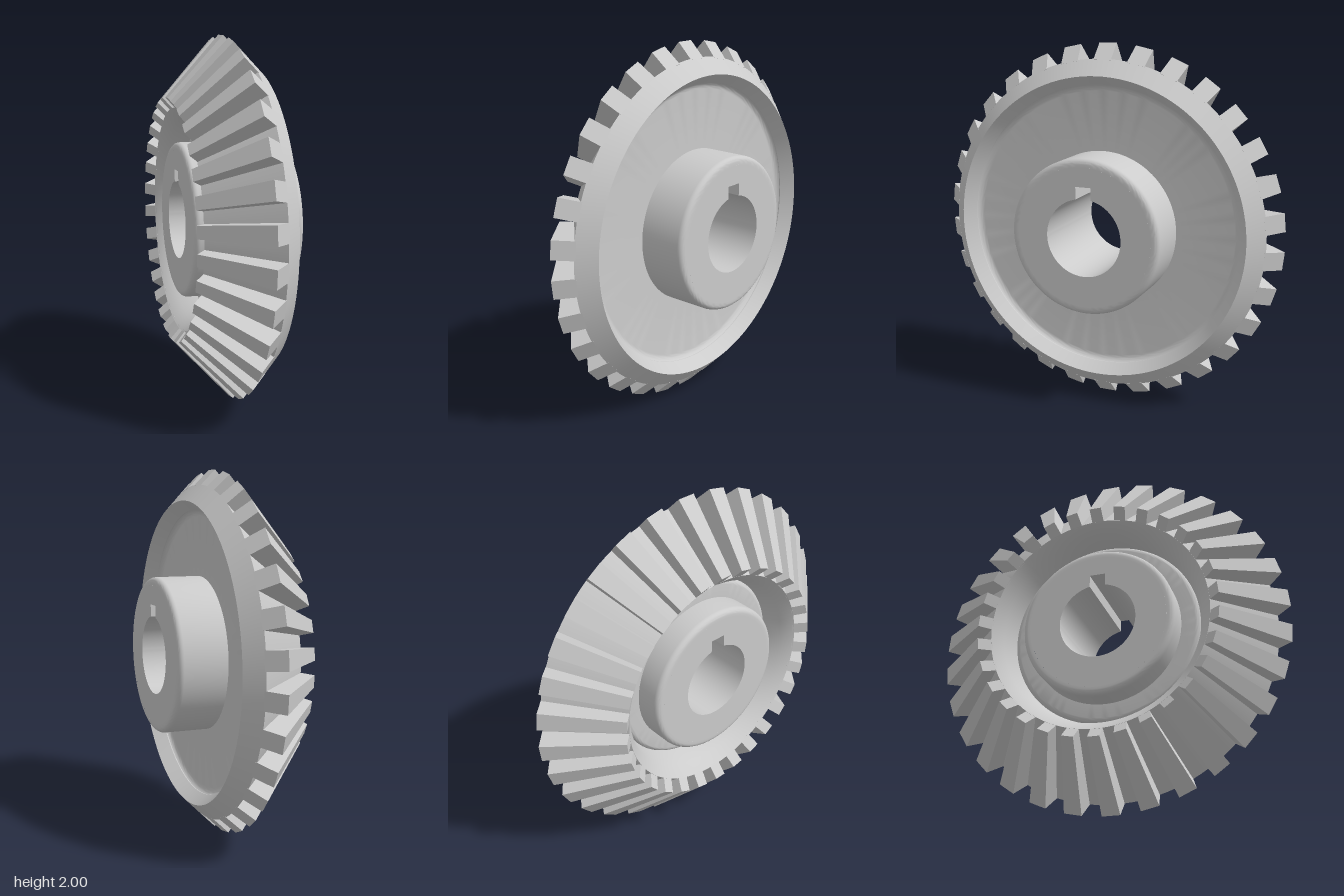
import * as THREE from 'three';
import { toCreasedNormals } from 'three/addons/utils/BufferGeometryUtils.js';

const TEETH = 30;

// Quarter-round profile points [radius, axial] about a centre, angles in degrees
function arc(r, a, radius, from, to, steps = 6) {
  return Array.from({ length: steps + 1 }, (_, i) => {
    const t = THREE.MathUtils.degToRad(from + (to - from) * i / steps);
    return [r + radius * Math.cos(t), a + radius * Math.sin(t)];
  });
}

// Turned body: front hub, front web, root cone, back cone, dished back web, back hub
function bodyGeometry() {
  const profile = [
    [0.38, -0.27],
    ...arc(0.395, -0.24, 0.03, -90, 0),
    [0.425, -0.12],
    ...arc(0.5, -0.09, 0.03, -90, -20),
    [0.56, -0.21], [0.613, -0.27],
    [0.92, 0.06], [0.835, 0.145],
    [0.785, 0.075],
    ...arc(0.75, 0.09, 0.04, -30, -90),
    [0.425, 0.05],
    ...arc(0.395, 0.29, 0.03, 0, 90),
    [0.38, 0.32],
  ].map(([r, a]) => new THREE.Vector2(r, a));
  const g = new THREE.LatheGeometry(profile, 120);
  g.rotateZ(-Math.PI / 2);
  return toCreasedNormals(g, 0.5);
}

// Hub core with a keyed bore
function coreGeometry() {
  const shape = new THREE.Shape().absarc(0, 0, 0.38, 0, Math.PI * 2);
  const bore = 0.212, half = 0.044;
  const a = Math.acos(half / bore);
  const hole = new THREE.Path();
  hole.moveTo(half, 0.275);
  hole.lineTo(half, bore * Math.sin(a));
  hole.absarc(0, 0, bore, a, Math.PI - a, true);
  hole.lineTo(-half, 0.275);
  hole.closePath();
  shape.holes.push(hole);
  const g = new THREE.ExtrudeGeometry(shape, { depth: 0.59, bevelEnabled: false, curveSegments: 48 });
  g.rotateY(Math.PI / 2);
  g.translate(-0.27, 0, 0);
  return toCreasedNormals(g, 0.5);
}

// One straight tooth at the top, tapering toward the small end
function toothGeometry() {
  const g = new THREE.BoxGeometry(1, 1, 1);
  const p = g.attributes.position;
  for (let i = 0; i < p.count; i++) {
    const big = p.getX(i) > 0, tip = p.getY(i) > 0;
    const [x, r] = big
      ? (tip ? [-0.02, 1] : [0.066, 0.914])
      : (tip ? [-0.32, 0.67] : [-0.264, 0.607]);
    p.setXYZ(i, x, r, p.getZ(i) * (big ? 0.1 : 0.066));
  }
  g.computeVertexNormals();
  return g;
}

export function createModel() {
  const model = new THREE.Group();
  model.name = 'bevelGear';
  const material = new THREE.MeshStandardMaterial({ color: 0xcccccc });
  const add = (parent, geometry, name) => {
    const mesh = new THREE.Mesh(geometry, material);
    mesh.name = name;
    parent.add(mesh);
    return mesh;
  };

  const gear = new THREE.Group();
  gear.name = 'gear';
  gear.position.y = 1;
  model.add(gear);

  add(gear, bodyGeometry(), 'gearBody');
  add(gear, coreGeometry(), 'keyedHub');

  // Ring of teeth
  const teeth = new THREE.Group();
  teeth.name = 'teeth';
  gear.add(teeth);
  const tooth = toothGeometry();
  for (let i = 0; i < TEETH; i++) {
    add(teeth, tooth, 'tooth').rotation.x = i * 2 * Math.PI / TEETH;
  }
  return model;
}
